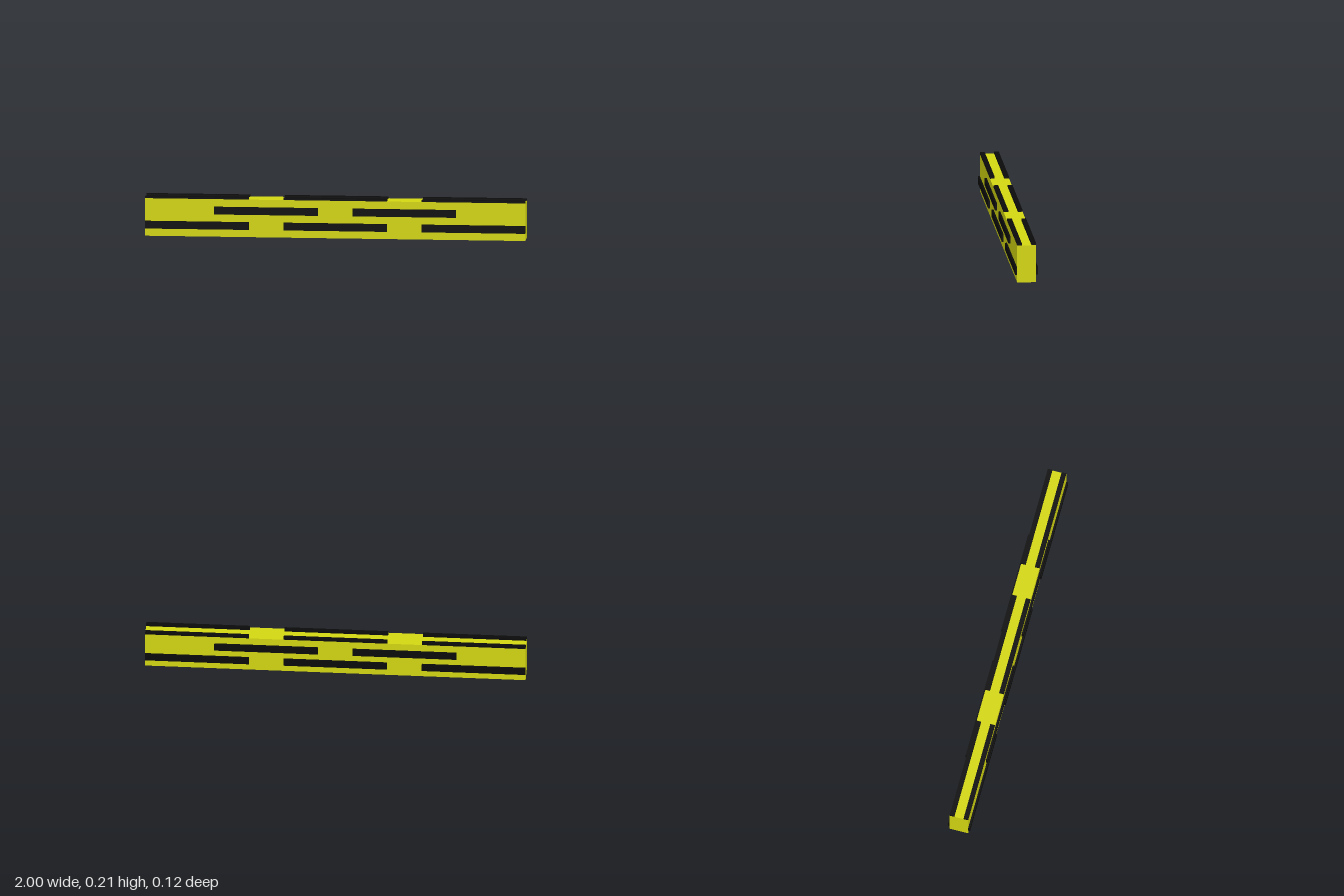
import * as THREE from 'three';

export function createModel() {
  const group = new THREE.Group();
  const yellow = new THREE.MeshStandardMaterial({ color: 0xd2d611 });
  const black = new THREE.MeshStandardMaterial({ color: 0x0a0a0a });

  function addBox(name, material, size, position) {
    const mesh = new THREE.Mesh(new THREE.BoxGeometry(...size), material);
    mesh.name = name;
    mesh.position.set(...position);
    group.add(mesh);
  }

  // Long solid beam
  addBox('beam', yellow, [2, 0.2, 0.1], [0, 0.1, 0]);

  // Strip length and pitch divide the beam into elevenths
  const length = 6 / 11;
  const pitch = 8 / 11;

  for (const side of [1, -1]) {
    const face = side > 0 ? 'front' : 'back';
    // Lower row on the side face, and matching strips along the top edge
    for (const i of [-1, 0, 1]) {
      addBox(face + 'LowerStrip', black, [length, 0.04, 0.01], [i * pitch, 0.06, side * 0.055]);
      addBox(face + 'TopStrip', black, [length, 0.01, 0.025], [i * pitch, 0.205, side * 0.0375]);
    }
    // Upper row, staggered by half a pitch
    for (const i of [-0.5, 0.5]) {
      addBox(face + 'UpperStrip', black, [length, 0.04, 0.01], [i * pitch, 0.14, side * 0.055]);
    }
  }
  return group;
}
